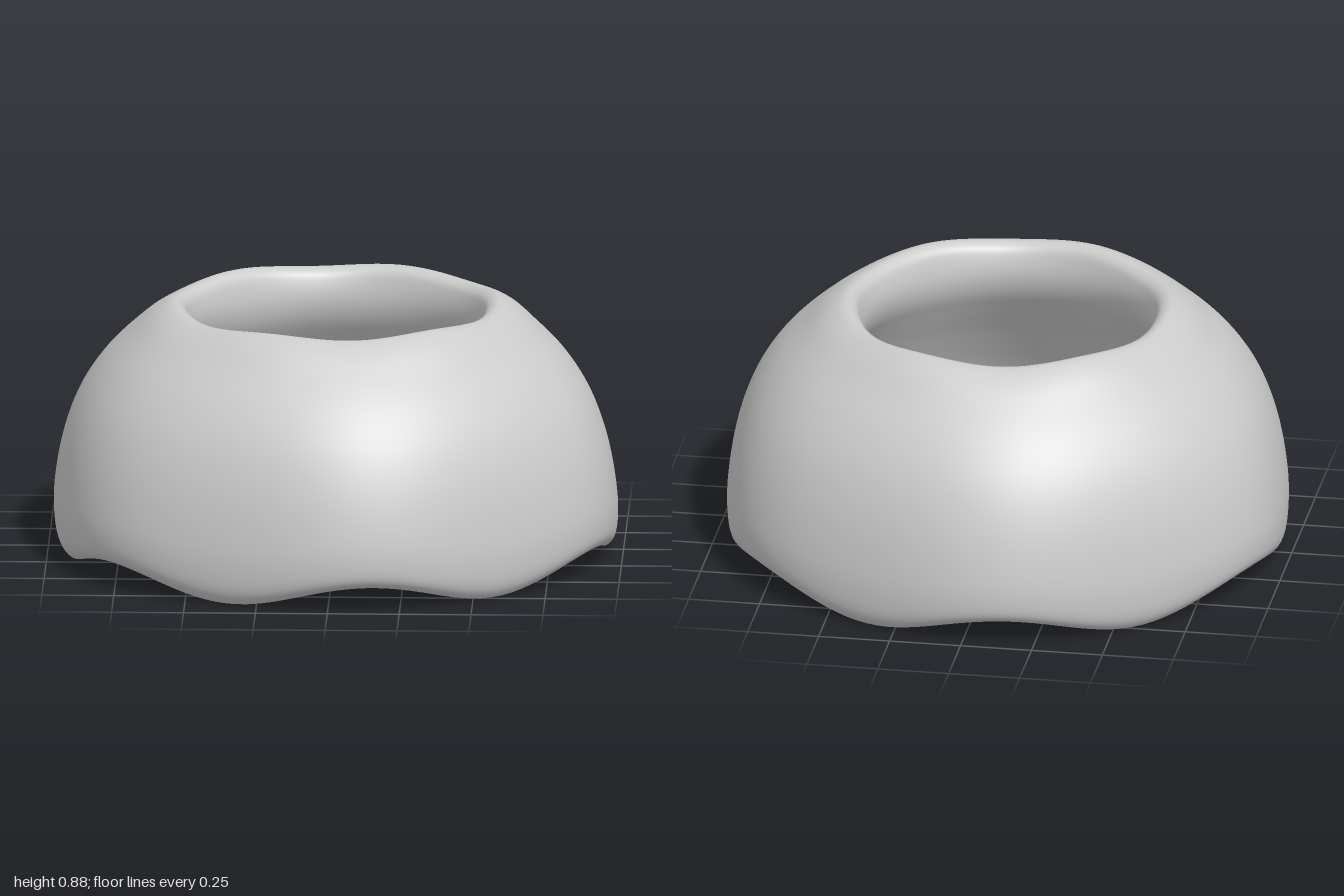
import * as THREE from 'three';
import { mergeVertices } from 'three/addons/utils/BufferGeometryUtils.js';
import { ParametricGeometry } from 'three/addons/geometries/ParametricGeometry.js';

// Closed wall section [radius, height, lobe depth]: up the outside, over the lip, down the inside
const SECTION = [
  [0.94, 0.0, 0.016], [0.975, 0.035, 0.015], [0.99, 0.14, 0.014], [0.977, 0.29, 0.014],
  [0.945, 0.43, 0.013], [0.892, 0.56, 0.011], [0.815, 0.675, 0.008], [0.718, 0.775, 0.005],
  [0.63, 0.85, 0.002], [0.565, 0.878, 0], [0.53, 0.862, 0], [0.514, 0.825, 0],
  [0.508, 0.76, 0], [0.527, 0.69, 0.002], [0.585, 0.6, 0.007], [0.68, 0.465, 0.015],
  [0.775, 0.31, 0.021], [0.85, 0.15, 0.022], [0.895, 0.04, 0.02],
];
const LOBES = 6;
const LOBE_ANGLE = THREE.MathUtils.degToRad(82); // direction of one bulge, from +x towards +z

const section = new THREE.CatmullRomCurve3(
  SECTION.map((s) => new THREE.Vector3(...s)), true, 'centripetal');

// Sweep the section round the axis: six bulges, a bottom rim raised under each, a rippled lip
function shellPoint(u, v, target) {
  const { x: radius, y, z: depth } = section.getPoint(v);
  const angle = Math.PI / 2 - u * Math.PI * 2;
  const wave = Math.cos(LOBES * (angle - LOBE_ANGLE));
  const r = radius * (1 + depth * wave);
  const low = Math.max(0, 1 - y / 0.42) ** 2;
  const high = THREE.MathUtils.smoothstep(y, 0.74, 0.88);
  target.set(
    r * Math.cos(angle),
    y + low * 0.04 * (1 + wave) - high * 0.007 * wave,
    r * Math.sin(angle));
}

export function createModel() {
  const group = new THREE.Group();
  group.name = 'lampShade';

  let geometry = new ParametricGeometry(shellPoint, 144, 114);
  geometry.deleteAttribute('uv');
  geometry.deleteAttribute('normal');
  geometry = mergeVertices(geometry, 1e-4);

  // Stand the shell on the ground
  geometry.computeBoundingBox();
  geometry.translate(0, -geometry.boundingBox.min.y, 0);
  geometry.computeVertexNormals();

  const shell = new THREE.Mesh(geometry, new THREE.MeshStandardMaterial({ color: 0xcccccc }));
  shell.name = 'lobedShell';
  group.add(shell);
  return group;
}
